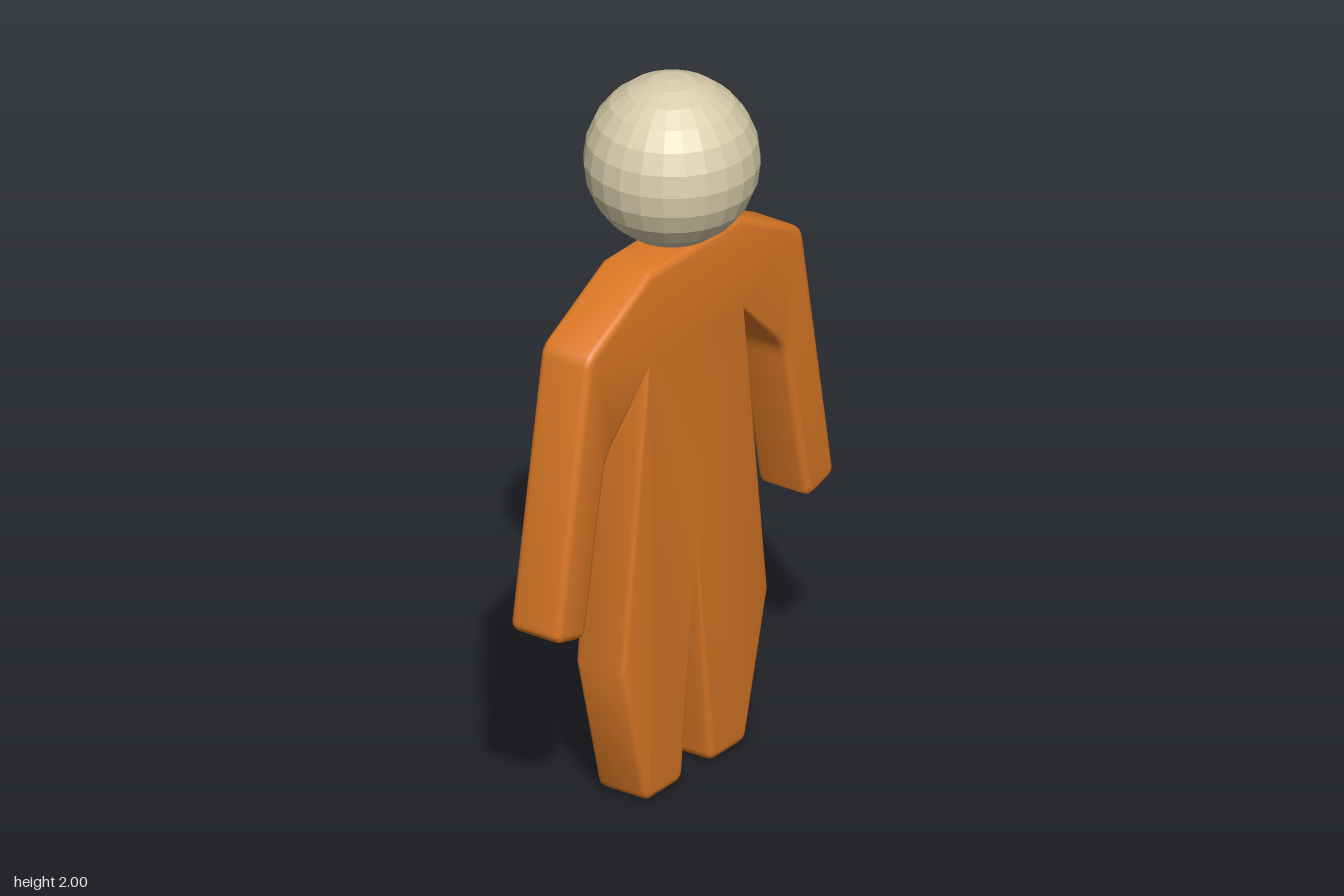
import * as THREE from 'three';
import { toCreasedNormals } from 'three/addons/utils/BufferGeometryUtils.js';

// Half outline of the body from neck to crotch: x, y, corner rounding
const HALF = [
  [0.195, 1.515, 0],     // neck
  [0.455, 1.382, 0.02],  // shoulder
  [0.59, 0.636, 0.012],  // hand, outer corner
  [0.505, 0.614, 0.012], // hand, inner corner
  [0.412, 1.09, 0.05],   // elbow
  [0.203, 1.28, 0],      // armpit
  [0.302, 0.41, 0],      // hip
  [0.204, 0.02, 0.012],  // foot, outer corner
  [0.077, 0.02, 0.012],  // foot, inner corner
];
const BEVEL = 0.02;
const DEPTH = 0.16;

// Closed shape with its marked corners rounded
function roundedShape(points) {
  const shape = new THREE.Shape();
  const n = points.length;
  points.forEach(([x, y, r], i) => {
    const p = new THREE.Vector2(x, y);
    const toward = ([qx, qy]) =>
      new THREE.Vector2(qx, qy).sub(p).setLength(r).add(p);
    const a = r ? toward(points[(i + n - 1) % n]) : p;
    if (i === 0) shape.moveTo(a.x, a.y);
    else shape.lineTo(a.x, a.y);
    if (r) {
      const b = toward(points[(i + 1) % n]);
      shape.quadraticCurveTo(x, y, b.x, b.y);
    }
  });
  return shape;
}

export function createModel() {
  const model = new THREE.Group();
  model.name = 'figure';

  const orange = new THREE.MeshStandardMaterial({ color: 0xdb7826 });
  orange.name = 'orange';
  const cream = new THREE.MeshStandardMaterial({ color: 0xd9cdab });
  cream.name = 'cream';

  // Body: one bevelled slab with arms and legs
  const mirrored = HALF.map(([x, y, r]) => [-x, y, r]).reverse();
  const outline = [...HALF, [0, 0.7, 0], ...mirrored];
  const slab = new THREE.ExtrudeGeometry(roundedShape(outline), {
    depth: DEPTH - 2 * BEVEL,
    bevelSize: BEVEL,
    bevelThickness: BEVEL,
    bevelSegments: 3,
    curveSegments: 3,
  });
  slab.translate(0, 0, BEVEL - DEPTH / 2);
  const body = new THREE.Mesh(toCreasedNormals(slab, 0.6), orange);
  body.name = 'body';
  model.add(body);

  // Head: faceted ball resting on the neck
  const ball = new THREE.SphereGeometry(0.232, 24, 12).toNonIndexed();
  ball.computeVertexNormals();
  const head = new THREE.Mesh(ball, cream);
  head.name = 'head';
  head.position.y = 1.768;
  model.add(head);

  return model;
}
